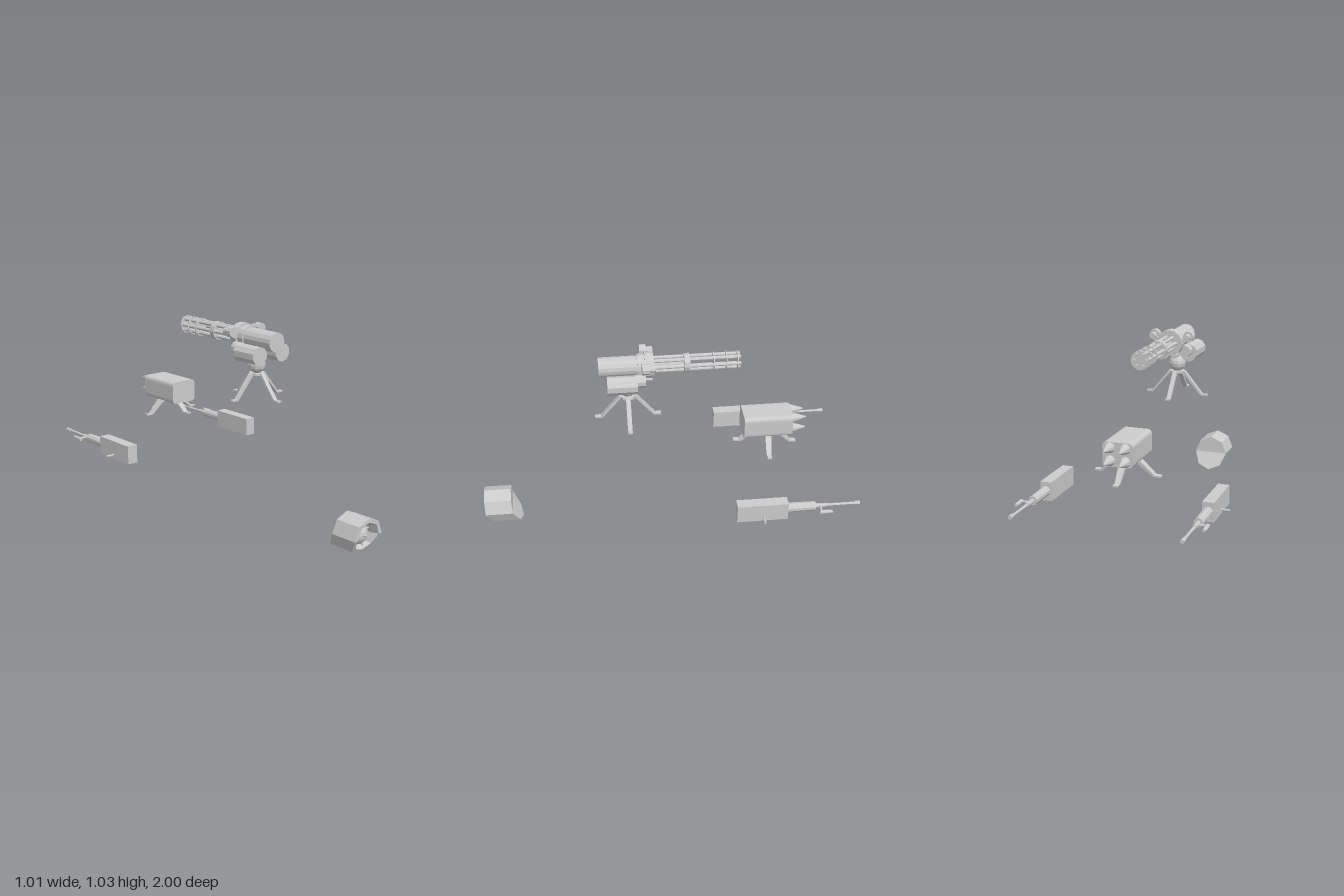
import * as THREE from 'three';

const mat = new THREE.MeshStandardMaterial({ color: 0xcccccc, flatShading: true, side: THREE.DoubleSide });

function add(parent, name, geo, x = 0, y = 0, z = 0) {
  const m = new THREE.Mesh(geo, mat);
  m.name = name;
  m.position.set(x, y, z);
  parent.add(m);
  return m;
}

// Cylinder along z from z0 (rear, radius r0) to z1 (muzzle end, radius r1)
function rod(parent, name, x, y, z0, z1, r0, r1 = r0, sides = 12) {
  const g = new THREE.CylinderGeometry(r0, r1, z0 - z1, sides).rotateX(Math.PI / 2);
  return add(parent, name, g, x, y, (z0 + z1) / 2);
}

function box(parent, name, x0, x1, y0, y1, z0, z1) {
  return add(parent, name, new THREE.BoxGeometry(x1 - x0, y1 - y0, z1 - z0),
    (x0 + x1) / 2, (y0 + y1) / 2, (z0 + z1) / 2);
}

// Four bent legs with flat feet around a hub; the width tapers outwards
function legs(parent, profile, wIn, wOut) {
  const g = new THREE.Group();
  g.name = 'legs';
  parent.add(g);
  const shape = new THREE.Shape(profile.map(p => new THREE.Vector2(...p)));
  for (let i = 0; i < 4; i++) {
    const geo = new THREE.ExtrudeGeometry(shape, { depth: 1, bevelEnabled: false });
    const p = geo.attributes.position;
    for (let k = 0; k < p.count; k++) {
      const w = THREE.MathUtils.lerp(wIn, wOut, Math.min(1, p.getX(k) / 0.17));
      p.setZ(k, (p.getZ(k) - 0.5) * w);
    }
    geo.rotateY(i * Math.PI / 2);
    add(g, 'leg', geo);
  }
  return g;
}

function rotaryGun() {
  const g = new THREE.Group();
  g.name = 'rotaryGun';
  const Y = 0.957;
  rod(g, 'body', 0, Y, 0.34, 0.12, 0.052, 0.052, 16);
  rod(g, 'collar', 0, Y, 0.14, 0.1, 0.06, 0.06, 16);
  rod(g, 'frontRing', 0, Y, 0.1, 0.055, 0.07, 0.07, 16);
  rod(g, 'barrelCore', 0, Y, 0.06, -0.12, 0.016, 0.016, 8);
  // barrel cluster
  for (let i = 0; i < 6; i++) {
    const a = i * Math.PI / 3;
    rod(g, 'barrel', 0.034 * Math.cos(a), Y + 0.034 * Math.sin(a), 0.06, -0.4, 0.01, 0.01, 8);
  }
  rod(g, 'clamp', 0, Y, -0.105, -0.135, 0.05);
  for (const z of [-0.26, -0.325, -0.385]) rod(g, 'barrelPlate', 0, Y, z + 0.003, z - 0.003, 0.05);
  // ammunition drums and side motors
  for (const s of [-1, 1]) {
    rod(g, 'drum', s * 0.079, 0.89, 0.3, 0.145, 0.049, 0.049, 10);
    rod(g, 'drumNose', s * 0.07, 0.905, 0.15, 0.1, 0.034, 0.034, 10);
    rod(g, 'motor', s * 0.096, 0.99, 0.12, 0.085, 0.029, 0.029, 10);
    rod(g, 'motorShaft', s * 0.096, 0.99, 0.085, 0.05, 0.017, 0.017, 8);
    const arm = box(g, 'motorArm', -0.03, 0.03, -0.012, 0.012, -0.015, 0.015);
    arm.position.set(s * 0.07, 0.965, 0.085);
    arm.rotation.z = s * 0.6;
    rod(g, 'ringStud', s * 0.022, 0.885, 0.1, 0.06, 0.014, 0.014, 8);
  }
  // swivel mount
  box(g, 'neck', -0.015, 0.015, 0.84, 0.92, 0.17, 0.21);
  add(g, 'swivelBall', new THREE.SphereGeometry(0.046, 10, 8), 0, 0.82, 0.19);
  add(g, 'swivelBand', new THREE.CylinderGeometry(0.047, 0.047, 0.008, 10), 0, 0.822, 0.19);
  add(g, 'hub', new THREE.CylinderGeometry(0.042, 0.042, 0.012, 8), 0, 0.772, 0.19);
  legs(g, [[0, 0.778], [0.045, 0.778], [0.145, 0.655], [0.176, 0.655], [0.176, 0.647],
    [0.138, 0.647], [0.036, 0.766], [0, 0.766]], 0.024, 0.024).position.z = 0.19;
  return g;
}

function rocketPod() {
  const g = new THREE.Group();
  g.name = 'rocketPod';
  // casing with rounded corners
  const w = 0.079, b = 0.496, t = 0.621, r = 0.024;
  const s = new THREE.Shape();
  s.moveTo(-w + r, b).lineTo(w - r, b).quadraticCurveTo(w, b, w, b + r).lineTo(w, t - r)
    .quadraticCurveTo(w, t, w - r, t).lineTo(-w + r, t).quadraticCurveTo(-w, t, -w, t - r)
    .lineTo(-w, b + r).quadraticCurveTo(-w, b, -w + r, b);
  add(g, 'casing', new THREE.ExtrudeGeometry(s, { depth: 0.265, bevelEnabled: false, curveSegments: 4 }), 0, 0, -0.695);
  // four rocket tips
  for (const x of [-0.04, 0.04]) for (const y of [0.527, 0.593]) {
    rod(g, 'rocketBase', x, y, -0.69, -0.705, 0.028, 0.026, 10);
    rod(g, 'rocketTip', x, y, -0.705, -0.77, 0.026, 0.004, 10);
  }
  // slightly tilted stand
  const stand = legs(g, [[0, 0], [0.075, 0], [0.145, -0.068], [0.176, -0.068], [0.176, -0.076],
    [0.138, -0.076], [0.06, -0.012], [0, -0.012]], 0.045, 0.024);
  stand.position.set(0, 0.498, -0.565);
  stand.rotation.x = -0.09;
  return g;
}

// Machine gun with its handles on the outer (+x) side
function sideGun() {
  const g = new THREE.Group();
  g.name = 'sideGun';
  const X = 0.431, Y = 0.293;
  box(g, 'receiver', 0.401, 0.461, 0.24, 0.341, -0.61, -0.34);
  rod(g, 'barrelShroud', X, Y, -0.61, -0.76, 0.026, 0.024, 10);
  rod(g, 'barrel', X, Y, -0.76, -1, 0.008, 0.007, 8);
  rod(g, 'barrelSleeve', X, Y, -0.76, -0.82, 0.012, 0.011, 8);
  rod(g, 'muzzle', X, Y, -0.97, -1, 0.011, 0.011, 8);
  add(g, 'chargingHandle', new THREE.CylinderGeometry(0.006, 0.006, 0.05, 8).rotateZ(Math.PI / 2), 0.481, 0.261, -0.482);
  add(g, 'gripArm', new THREE.CylinderGeometry(0.007, 0.007, 0.06, 8).rotateZ(Math.PI / 2), 0.46, Y, -0.785);
  rod(g, 'carryGrip', 0.483, Y - 0.002, -0.775, -0.84, 0.011, 0.009, 8);
  return g;
}

// Octagonal launcher tube, its lower half swept backwards, with a spiked mine inside
function mineLauncher() {
  const g = new THREE.Group();
  g.name = 'mineLauncher';
  const profile = [[0, 0], [0.098, 0], [0.098, 0.147], [0.077, 0.147], [0.062, 0.11], [0.062, 0.04], [0, 0.04]]
    .map(p => new THREE.Vector2(...p));
  const geo = new THREE.LatheGeometry(profile, 8).rotateX(Math.PI / 2);
  const p = geo.attributes.position;
  for (let i = 0; i < p.count; i++) {
    const y = p.getY(i);
    p.setZ(i, p.getZ(i) + (y < 0 ? 0.56 * y : 0.04 * y) - 0.004);
  }
  add(g, 'octagonTube', geo, 0, 0.098, 0.853);

  const mine = new THREE.Group();
  mine.name = 'mine';
  mine.position.set(0, 0.1, 0.915);
  g.add(mine);
  add(mine, 'mineBody', new THREE.SphereGeometry(0.058, 14, 10));
  const spike = dir => {
    const m = add(mine, 'mineSpike', new THREE.CylinderGeometry(0.004, 0.007, 0.016, 8));
    m.quaternion.setFromUnitVectors(new THREE.Vector3(0, 1, 0), dir);
    m.position.copy(dir).multiplyScalar(0.063);
  };
  spike(new THREE.Vector3(0, 0, 1));
  for (let i = 0; i < 7; i++) {
    const a = 1.35 + i * 2 * Math.PI / 7;
    spike(new THREE.Vector3(Math.cos(a), Math.sin(a), 0.6).normalize());
  }
  return g;
}

export function createModel() {
  const model = new THREE.Group();
  model.name = 'weaponSet';
  model.add(rotaryGun(), rocketPod(), mineLauncher());
  const left = sideGun(), right = sideGun();
  left.name = 'leftSideGun';
  right.name = 'rightSideGun';
  right.scale.x = -1;
  model.add(left, right);
  return model;
}
